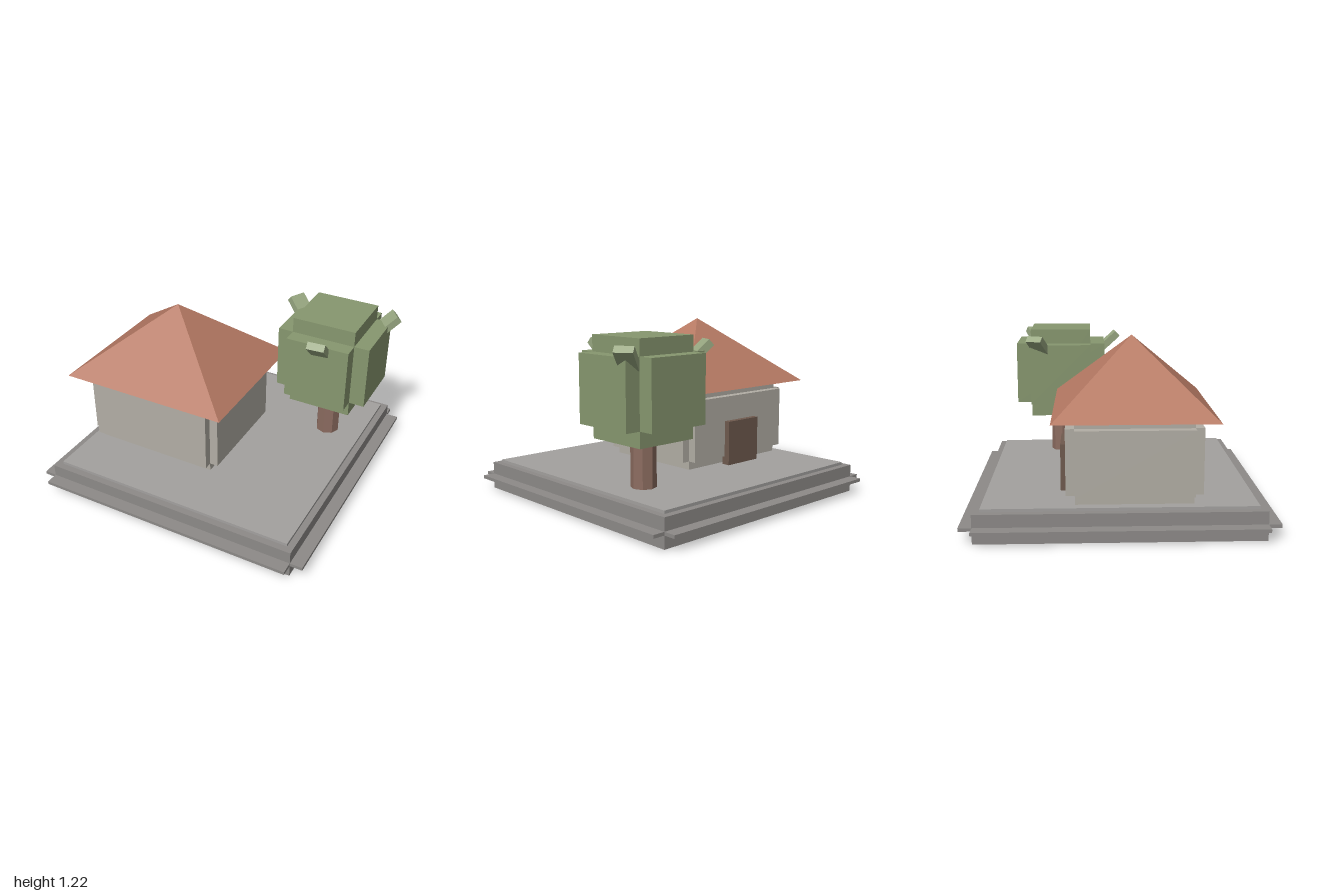
import * as THREE from 'three';

const mat = (color) => new THREE.MeshStandardMaterial({ color, flatShading: true });
const stone = mat(0x8d8a88), paving = mat(0xa3a19f), plaster = mat(0xb2aea5);
const tile = mat(0xb57963), wood = mat(0x8c6c60), doorWood = mat(0x6f5a4e);
const leaf = mat(0x87976f), tuftLeaf = mat(0x98a781);

function add(parent, name, geometry, material, x, y, z) {
  const mesh = new THREE.Mesh(geometry, material);
  mesh.name = name;
  mesh.position.set(x, y, z);
  parent.add(mesh);
  return mesh;
}

// Block with notched edges: three crossed boxes, each full length along one axis
function notchedBlock(name, size, inset, material, x, y, z) {
  const group = new THREE.Group();
  group.name = name;
  group.position.set(x, y, z);
  ['x', 'y', 'z'].forEach((axis, i) => {
    const dims = size.map((s, k) => (k === i ? s : s - 2 * inset));
    add(group, `${name} ${axis} box`, new THREE.BoxGeometry(...dims), material, 0, 0, 0);
  });
  return group;
}

export function createModel() {
  const model = new THREE.Group();
  model.name = 'house and tree on a base';

  // Base and paved ground
  model.add(notchedBlock('base', [1.982, 0.19, 1.99], 0.084, stone, -0.009, 0.095, 0));
  add(model, 'ground', new THREE.BoxGeometry(1.725, 0.1, 1.73), paving, -0.008, 0.16, 0);

  // House
  const house = new THREE.Group();
  house.name = 'house';
  house.position.set(-0.36, 0, 0.09);
  house.add(notchedBlock('walls', [1.006, 0.54, 0.86], 0.058, plaster, 0, 0.48, 0));
  const roofGeometry = new THREE.ConeGeometry(Math.SQRT1_2, 0.465, 4, 1);
  roofGeometry.rotateY(Math.PI / 4).scale(1.19, 1, 1.025);
  add(house, 'roof', roofGeometry, tile, 0, 0.9825, 0);
  add(house, 'door', new THREE.BoxGeometry(0.3, 0.31, 0.06), doorWood, 0, 0.365, -0.44);
  model.add(house);

  // Tree
  const tree = new THREE.Group();
  tree.name = 'tree';
  tree.position.set(0.6, 0, -0.397);
  add(tree, 'trunk', new THREE.CylinderGeometry(0.083, 0.083, 0.36, 8), wood, 0, 0.39, 0);
  tree.add(notchedBlock('foliage', [0.65, 0.65, 0.65], 0.105, leaf, 0, 0.845, 0));

  // Three tilted tufts spaced evenly around the foliage
  for (let i = 0; i < 3; i++) {
    const arm = new THREE.Group();
    arm.name = `tuft ${i + 1}`;
    arm.rotation.y = THREE.MathUtils.degToRad(4 + 120 * i);
    const tuft = add(arm, 'tuft leaf', new THREE.BoxGeometry(0.12, 0.05, 0.18), tuftLeaf, 0, 1.057, 0.36);
    tuft.rotation.x = -0.73;
    tree.add(arm);
  }
  model.add(tree);
  return model;
}
